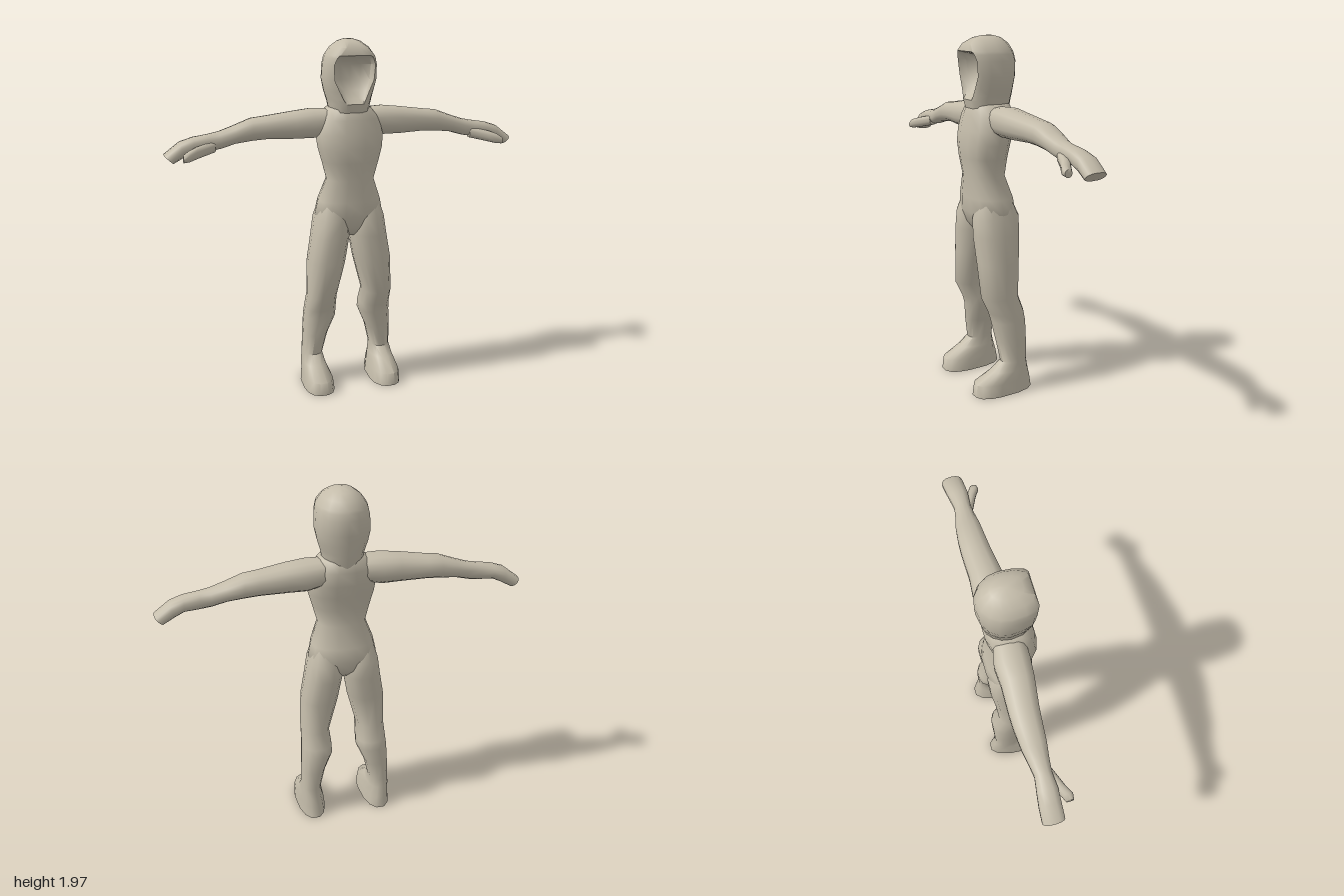
import * as THREE from 'three';
import { toCreasedNormals } from 'three/addons/utils/BufferGeometryUtils.js';

const SIDES = 14;

// Skin a list of equal-length rings [[x,y,z],...], closing both ends
function loft(rings, crease = 1.0) {
  const n = rings[0].length;
  const pts = rings.flat();
  const idx = [];
  for (let r = 0; r < rings.length - 1; r++) {
    for (let i = 0; i < n; i++) {
      const j = (i + 1) % n, a = r * n, b = a + n;
      idx.push(a + i, b + i, b + j, a + i, b + j, a + j);
    }
  }
  const cap = (ring, base, flip) => {
    const c = [0, 1, 2].map(k => ring.reduce((s, p) => s + p[k], 0) / n);
    pts.push(c);
    for (let i = 0; i < n; i++) {
      const a = base + i, b = base + (i + 1) % n;
      idx.push(pts.length - 1, flip ? b : a, flip ? a : b);
    }
  };
  cap(rings[0], 0, false);
  cap(rings[rings.length - 1], (rings.length - 1) * n, true);

  // Turn the skin outward whichever way the rings run
  const v = idx.map(i => new THREE.Vector3(...pts[i]));
  let volume = 0;
  for (let i = 0; i < v.length; i += 3) volume += v[i].dot(v[i + 1].clone().cross(v[i + 2]));
  if (volume < 0) idx.reverse();

  const geo = new THREE.BufferGeometry();
  geo.setAttribute('position', new THREE.Float32BufferAttribute(pts.flat(), 3));
  geo.setIndex(idx);
  return toCreasedNormals(geo, crease);
}

// Rounded outline inside u0..u1, v0..v1; vc is where it is widest
function outline(u0, u1, v0, v1, vc = (v0 + v1) / 2) {
  const soft = t => Math.sign(t) * Math.abs(t) ** 0.85;
  return Array.from({ length: SIDES }, (_, i) => {
    const a = (i / SIDES) * Math.PI * 2;
    const c = soft(Math.cos(a)), s = soft(Math.sin(a));
    return [(u0 + u1) / 2 + (u1 - u0) / 2 * c, vc + (s > 0 ? v1 - vc : vc - v0) * s];
  });
}

// Rows [y, x0, x1, z0, z1, zWidest] stacked upward
const upright = (rows, side = 1) => loft(rows.map(([y, ...b]) =>
  outline(...b).map(([x, z]) => [x * side, y, z])));

// Rows [x, y0, y1, z0, z1, slant] running outward
const outward = (rows, side) => loft(rows.map(([x, y0, y1, z0, z1, slant = 0]) =>
  outline(y0, y1, z0, z1).map(([y, z]) =>
    [side * (x + slant * (y - (y0 + y1) / 2) / (y1 - y0)), y, z])));

// Hood ring with a sunken face: half width, front, back, opening, depth
function hoodRing([y, w, zf, zb, o, d]) {
  const zc = (zf + zb) / 2, half = [];
  for (let i = 0; i <= 4; i++) {
    const a = i / 4 * Math.PI / 2;
    half.push([w * Math.sin(a), y, zc - (zc - zb) * Math.cos(a)]);
  }
  for (let i = 1; i <= 3; i++) {
    const a = i / 3 * Math.PI / 2;
    half.push([o + (w - o) * Math.cos(a), y, zc + (zf - zc) * Math.sin(a)]);
  }
  half.push([o * 0.9, y, zf - d * 0.55], [o * 0.5, y, zf - d * 0.9], [0, y, zf - d]);
  const mirrored = half.slice(1, -1).reverse().map(([x, yy, z]) => [-x, yy, z]);
  return [...half, ...mirrored];
}

export function createModel() {
  const model = new THREE.Group();
  model.name = 'hoodedFigure';
  const clay = new THREE.MeshStandardMaterial({ color: 0xc4bcaa });
  clay.name = 'clay';
  const add = (name, geo) => {
    const mesh = new THREE.Mesh(geo, clay);
    mesh.name = name;
    model.add(mesh);
  };

  // Torso: crotch, hips, waist, chest, shoulders
  add('torso', upright([
    [0.90, -0.05, 0.05, -0.07, 0.06],
    [0.95, -0.14, 0.14, -0.12, 0.10],
    [1.02, -0.195, 0.195, -0.142, 0.122],
    [1.10, -0.178, 0.178, -0.13, 0.125],
    [1.22, -0.133, 0.133, -0.09, 0.12],
    [1.32, -0.16, 0.16, -0.098, 0.135],
    [1.40, -0.182, 0.182, -0.11, 0.14],
    [1.47, -0.19, 0.19, -0.125, 0.13],
    [1.55, -0.17, 0.17, -0.135, 0.115],
    [1.605, -0.125, 0.125, -0.125, 0.10],
    [1.63, -0.08, 0.08, -0.11, 0.085],
  ]));

  // Hood with recessed face
  add('hood', loft([
    [1.50, 0.09, 0.08, -0.10, 0.03, 0],
    [1.58, 0.107, 0.10, -0.13, 0.04, 0],
    [1.635, 0.115, 0.112, -0.14, 0.05, 0],
    [1.66, 0.122, 0.108, -0.145, 0.062, 0.03],
    [1.70, 0.134, 0.105, -0.15, 0.08, 0.06],
    [1.76, 0.145, 0.103, -0.16, 0.108, 0.085],
    [1.84, 0.14, 0.11, -0.163, 0.114, 0.08],
    [1.875, 0.133, 0.12, -0.155, 0.10, 0.045],
    [1.89, 0.128, 0.125, -0.15, 0.09, 0],
    [1.93, 0.10, 0.115, -0.125, 0.05, 0],
    [1.96, 0.06, 0.07, -0.085, 0.02, 0],
    [1.972, 0.02, 0.015, -0.04, 0.005, 0],
  ].map(hoodRing), 0.9));

  for (const [label, side] of [['left', 1], ['right', -1]]) {
    // Leg running down into the foot
    add(label + 'Leg', upright([
      [0.00, 0.115, 0.285, -0.18, 0.18, 0.05],
      [0.07, 0.123, 0.28, -0.168, 0.172, 0.04],
      [0.13, 0.142, 0.27, -0.152, 0.07],
      [0.18, 0.15, 0.264, -0.142, 0.01],
      [0.30, 0.122, 0.26, -0.148, 0.03],
      [0.41, 0.075, 0.255, -0.15, 0.045],
      [0.46, 0.075, 0.25, -0.142, 0.06],
      [0.55, 0.082, 0.245, -0.108, 0.105],
      [0.75, 0.03, 0.24, -0.12, 0.115],
      [0.90, 0.005, 0.213, -0.14, 0.125],
      [1.00, 0.0, 0.198, -0.142, 0.122],
      [1.09, 0.02, 0.17, -0.10, 0.09],
    ], side));

    // Arm and flat mitten hand with a slanted tip
    add(label + 'Arm', outward([
      [0.06, 1.47, 1.60, -0.10, 0.06],
      [0.20, 1.445, 1.607, -0.13, 0.06],
      [0.30, 1.445, 1.596, -0.122, 0.052],
      [0.45, 1.45, 1.575, -0.125, 0.032],
      [0.53, 1.445, 1.566, -0.122, 0.025],
      [0.62, 1.435, 1.532, -0.112, 0.02],
      [0.70, 1.412, 1.506, -0.095, 0.01],
      [0.76, 1.402, 1.495, -0.085, 0.005],
      [0.84, 1.40, 1.482, -0.097, 0.012],
      [0.90, 1.378, 1.46, -0.104, 0.01, 0.02],
      [0.97, 1.348, 1.396, -0.106, 0.01, 0.05],
    ], side));

    // Thumb
    add(label + 'Thumb', outward([
      [0.73, 1.40, 1.46, -0.04, 0.008],
      [0.83, 1.378, 1.44, -0.005, 0.052],
      [0.875, 1.368, 1.425, 0.02, 0.078],
      [0.905, 1.366, 1.405, 0.035, 0.075],
    ], side));
  }
  return model;
}
